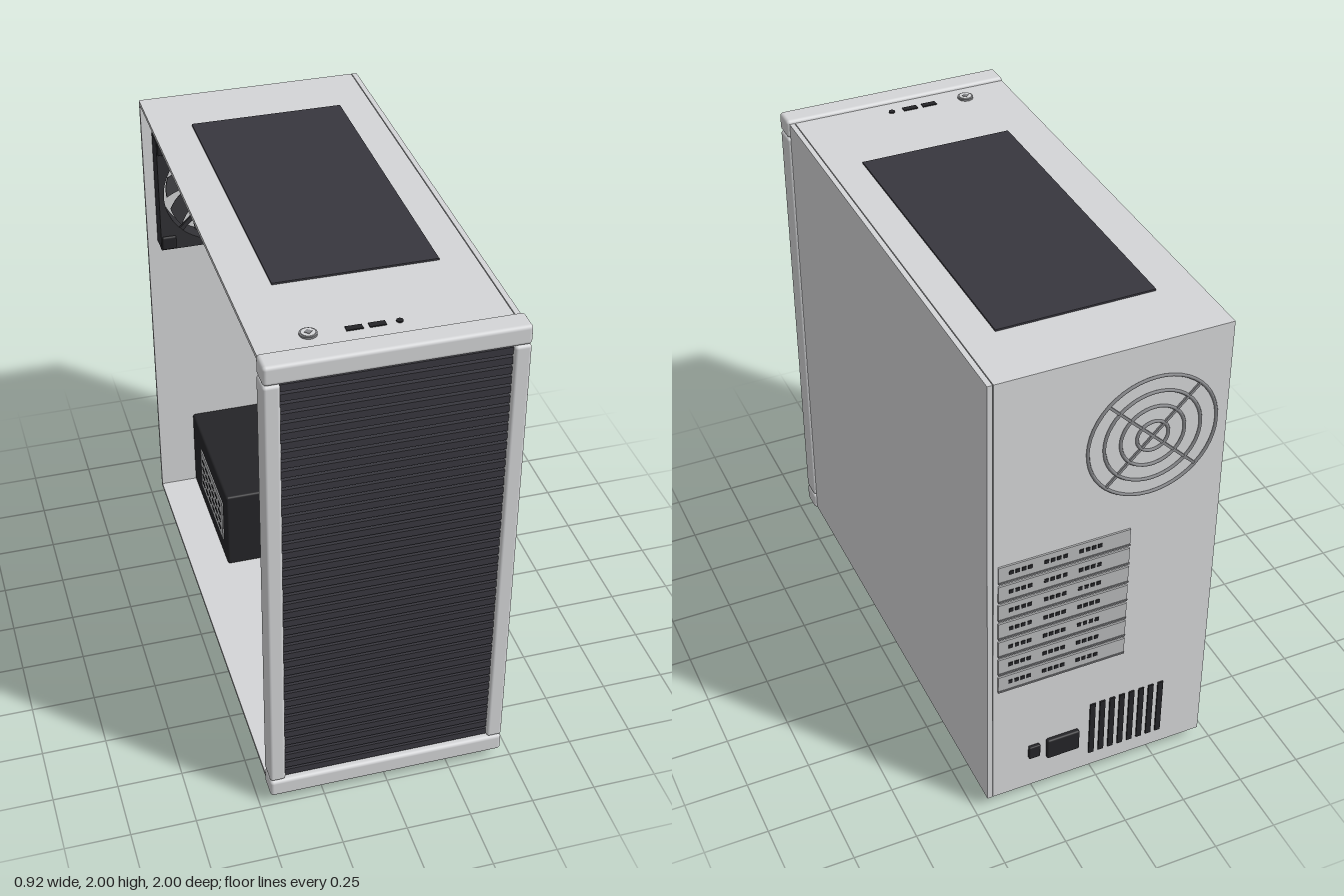
import * as THREE from 'three';
import { RoundedBoxGeometry } from 'three/addons/geometries/RoundedBoxGeometry.js';
import { toCreasedNormals } from 'three/addons/utils/BufferGeometryUtils.js';

function material(name, color) {
  const m = new THREE.MeshStandardMaterial({ color });
  m.name = name;
  return m;
}

export function createModel() {
  const model = new THREE.Group();
  model.name = 'computerCase';
  const shell = material('silver', 0xd4d5d7);
  const mesh = material('charcoal mesh', 0x38373e);
  const black = material('black', 0x242427);
  const fanDark = material('fan dark grey', 0x303034);
  const wire = material('grille grey', 0x88898c);
  const slotGrey = material('slot grey', 0xb6b7b9);
  const cardGrey = material('card grey', 0x4c4d51);
  const boardGreen = material('board dark', 0x2b3030);

  function add(name, geo, mat, x = 0, y = 0, z = 0, parent = model) {
    const m = new THREE.Mesh(geo, mat);
    m.name = name;
    m.position.set(x, y, z);
    parent.add(m);
    return m;
  }
  // Box given by its minimum and maximum on each axis
  function box(name, mat, x0, x1, y0, y1, z0, z1, r = 0, parent = model) {
    const s = [x1 - x0, y1 - y0, z1 - z0];
    const geo = r ? new RoundedBoxGeometry(...s, 3, r) : new THREE.BoxGeometry(...s);
    return add(name, geo, mat, (x0 + x1) / 2, (y0 + y1) / 2, (z0 + z1) / 2, parent);
  }

  // Shell, open on the -x side
  box('topPanel', shell, -0.455, 0.427, 1.972, 1.988, -0.98, 0.905);
  box('floorPanel', shell, -0.455, 0.427, 0.05, 0.066, -0.98, 0.905);
  box('backPanel', shell, -0.455, 0.427, 0.066, 1.972, -0.98, -0.965);
  box('sidePanel', shell, 0.43, 0.45, 0.05, 1.988, -0.98, 0.905);
  box('innerWall', shell, 0.415, 0.43, 0.06, 1.975, -0.97, 0.9);

  // Front frame and slatted panel
  box('frontTopBar', shell, -0.46, 0.46, 1.925, 2, 0.908, 1, 0.014);
  box('frontBottomBar', shell, -0.46, 0.46, 0.042, 0.117, 0.908, 1, 0.014);
  for (const s of [-1, 1]) {
    const c = 0.43 * s;
    box('frontPost', shell, c - 0.03, c + 0.03, 0.119, 1.923, 0.908, 0.998, 0.012);
  }
  box('frontPanel', mesh, -0.402, 0.402, 0.11, 1.93, 0.905, 0.965);
  const slats = 46, pitch = 1.8 / slats;
  for (let i = 0; i < slats; i++) {
    const y = 0.12 + (i + 0.5) * pitch;
    box('frontSlat', mesh, -0.4, 0.4, y - 0.014, y + 0.014, 0.96, 0.982);
  }

  // Top vent, power button and ports
  box('topVent', mesh, -0.3, 0.3, 1.986, 1.995, -0.71, 0.505);
  add('buttonRing', new THREE.CylinderGeometry(0.031, 0.031, 0.01, 32), wire, -0.262, 1.99, 0.83);
  add('powerButton', new THREE.CylinderGeometry(0.025, 0.025, 0.014, 32), shell, -0.262, 1.991, 0.83);
  add('buttonMark', new THREE.CylinderGeometry(0.014, 0.014, 0.004, 4), wire, -0.262, 1.998, 0.83);
  for (const x of [-0.107, -0.027]) box('usbPort', black, x - 0.029, x + 0.029, 1.985, 1.992, 0.823, 0.848);
  add('audioJack', new THREE.CylinderGeometry(0.012, 0.012, 0.008, 20), black, 0.05, 1.989, 0.836);

  // Feet
  const foot = new THREE.LatheGeometry([[0, 0], [0.05, 0], [0.06, 0.01], [0.06, 0.051], [0, 0.051]]
    .map(p => new THREE.Vector2(...p)), 28);
  for (const x of [-0.345, 0.345]) for (const z of [-0.85, 0.81]) {
    add('foot', toCreasedNormals(foot, 0.6), black, x, 0, z);
  }

  // Square fan, centred on its own origin, blades in the xy plane
  function fan(name, size, depth, x, y, z) {
    const g = new THREE.Group();
    g.name = name;
    g.position.set(x, y, z);
    model.add(g);
    const h = size / 2, R = h * 0.92, hub = h * 0.27;
    const square = new THREE.Shape([[-h, -h], [h, -h], [h, h], [-h, h]].map(p => new THREE.Vector2(...p)));
    square.holes.push(new THREE.Path().absarc(0, 0, R, 0, Math.PI * 2, true));
    const frame = new THREE.ExtrudeGeometry(square, { depth, bevelEnabled: false, curveSegments: 40 });
    frame.translate(0, 0, -depth / 2);
    add('fanFrame', toCreasedNormals(frame, 0.5), fanDark, 0, 0, 0, g);
    const axle = new THREE.CylinderGeometry(hub, hub, depth * 0.8, 32).rotateX(Math.PI / 2);
    add('fanHub', axle, black, 0, 0, 0, g);
    add('fanCap', new THREE.CylinderGeometry(hub * 0.75, hub * 0.75, depth * 0.9, 32).rotateX(Math.PI / 2), fanDark, 0, 0, 0, g);
    // Swept blade, twisted about its radius
    const blade = new THREE.Shape();
    blade.moveTo(hub * 0.9, -h * 0.12);
    blade.quadraticCurveTo(R * 0.65, -h * 0.2, R * 0.93, h * 0.04);
    blade.quadraticCurveTo(R * 0.95, h * 0.2, R * 0.87, h * 0.36);
    blade.quadraticCurveTo(R * 0.6, h * 0.1, hub * 0.9, h * 0.1);
    const bladeGeo = new THREE.ExtrudeGeometry(blade, { depth: 0.006, bevelEnabled: false, curveSegments: 8 });
    bladeGeo.rotateX(0.35);
    for (let i = 0; i < 9; i++) {
      add('fanBlade', bladeGeo, fanDark, 0, 0, 0, g).rotation.z = i * Math.PI * 2 / 9;
    }
    // Mounting pads and struts
    for (let i = 0; i < 4; i++) {
      const a = Math.PI / 4 + i * Math.PI / 2;
      const c = h * 0.87;
      add('fanPad', new RoundedBoxGeometry(h * 0.24, h * 0.24, depth + 0.016, 2, 0.008), black,
        c * Math.sign(Math.cos(a)), c * Math.sign(Math.sin(a)), 0, g);
      add('fanStrut', new THREE.BoxGeometry(R - hub, 0.018, 0.012), fanDark,
        Math.cos(a) * (R + hub) / 2, Math.sin(a) * (R + hub) / 2, depth * 0.4, g).rotation.z = a;
    }
  }
  fan('lowerFrontFan', 0.62, 0.085, -0.02, 0.69, 0.85);
  fan('upperFrontFan', 0.62, 0.085, -0.02, 1.33, 0.85);
  fan('rearFan', 0.5, 0.085, -0.165, 1.6, -0.915);

  // Rear fan grille
  const grille = new THREE.Group();
  grille.name = 'rearGrille';
  grille.position.set(-0.165, 1.6, -0.983);
  model.add(grille);
  for (const r of [0.06, 0.122, 0.184, 0.246]) {
    add('grilleRing', new THREE.TorusGeometry(r, 0.0065, 6, 48), wire, 0, 0, 0, grille);
  }
  for (const a of [1, -1]) {
    add('grilleBar', new THREE.BoxGeometry(0.49, 0.01, 0.008), wire, 0, 0, 0, grille).rotation.z = a * Math.PI / 4;
  }

  // Expansion slot covers with vent holes
  for (let i = 0; i < 7; i++) {
    const y = 0.645 + i * 0.088;
    box('slotCover', slotGrey, -0.1, 0.41, y - 0.034, y + 0.034, -0.987, -0.978);
    box('slotEdge', wire, -0.1, 0.41, y - 0.04, y - 0.033, -0.99, -0.978);
    for (let j = 0; j < 3; j++) for (let k = 0; k < 4; k++) {
      const x = 0.02 + j * 0.135 + k * 0.024;
      box('slotVent', black, x - 0.008, x + 0.008, y - 0.006, y + 0.01, -0.99, -0.985);
    }
  }

  // Power supply: rear fittings, box, side label
  for (let i = 0; i < 8; i++) {
    const x = -0.27 + i * 0.041;
    box('supplyVent', black, x - 0.011, x + 0.011, 0.12, 0.38, -0.986, -0.978);
  }
  box('powerSocket', black, 0.075, 0.21, 0.18, 0.275, -1, -0.978, 0.008);
  box('powerSwitch', black, 0.237, 0.283, 0.205, 0.265, -0.995, -0.978, 0.005);
  box('powerSupply', black, -0.3, 0.32, 0.066, 0.43, -0.965, -0.33, 0.01);
  box('supplyLabel', slotGrey, -0.305, -0.298, 0.15, 0.35, -0.8, -0.4);
  for (let r = 0; r < 4; r++) for (let c = 0; c < 6; c++) {
    const y = 0.19 + r * 0.04, z = -0.75 + c * 0.06;
    box('labelMark', black, -0.307, -0.304, y - 0.006, y + 0.006, z - 0.018, z + 0.018);
  }

  // Main board and its parts on the inner wall
  box('mainBoard', boardGreen, 0.395, 0.415, 0.52, 1.8, -0.95, 0.2);
  box('processorCooler', cardGrey, 0.2, 0.395, 1.38, 1.66, -0.6, -0.32, 0.01);
  for (let i = 0; i < 4; i++) {
    const z = -0.17 + i * 0.05;
    box('memoryStick', black, 0.28, 0.395, 1.28, 1.74, z - 0.01, z + 0.01);
  }

  // Graphics card
  box('graphicsCard', black, -0.09, 0.39, 1.03, 1.18, -0.965, 0.24, 0.01);
  box('cardBackplate', cardGrey, -0.095, 0.39, 1.178, 1.192, -0.96, 0.245);
  box('cardStripe', wire, -0.096, -0.089, 1.05, 1.1, -0.9, 0.22);
  for (let i = 0; i < 16; i++) {
    const z = -0.85 + i * 0.068;
    box('cardVent', slotGrey, -0.094, -0.089, 1.135, 1.147, z - 0.015, z + 0.015);
  }
  for (const z of [-0.65, -0.1]) {
    add('cardFan', new THREE.CylinderGeometry(0.2, 0.2, 0.012, 32), fanDark, 0.15, 1.028, z);
  }

  // Cables from the power supply up to the card and board
  for (let i = 0; i < 3; i++) {
    const x = -0.02 + i * 0.08, d = i * 0.09;
    const path = new THREE.CatmullRomCurve3([
      [x, 0.3, -0.36], [x, 0.33, -0.12 - d], [x, 0.52, 0.03 - d], [x + 0.02, 0.78, -0.08 - d], [x + 0.06, 1.04, -0.27 - d],
    ].map(p => new THREE.Vector3(...p)));
    add('cable', new THREE.TubeGeometry(path, 32, 0.022, 10), black);
  }
  return model;
}
